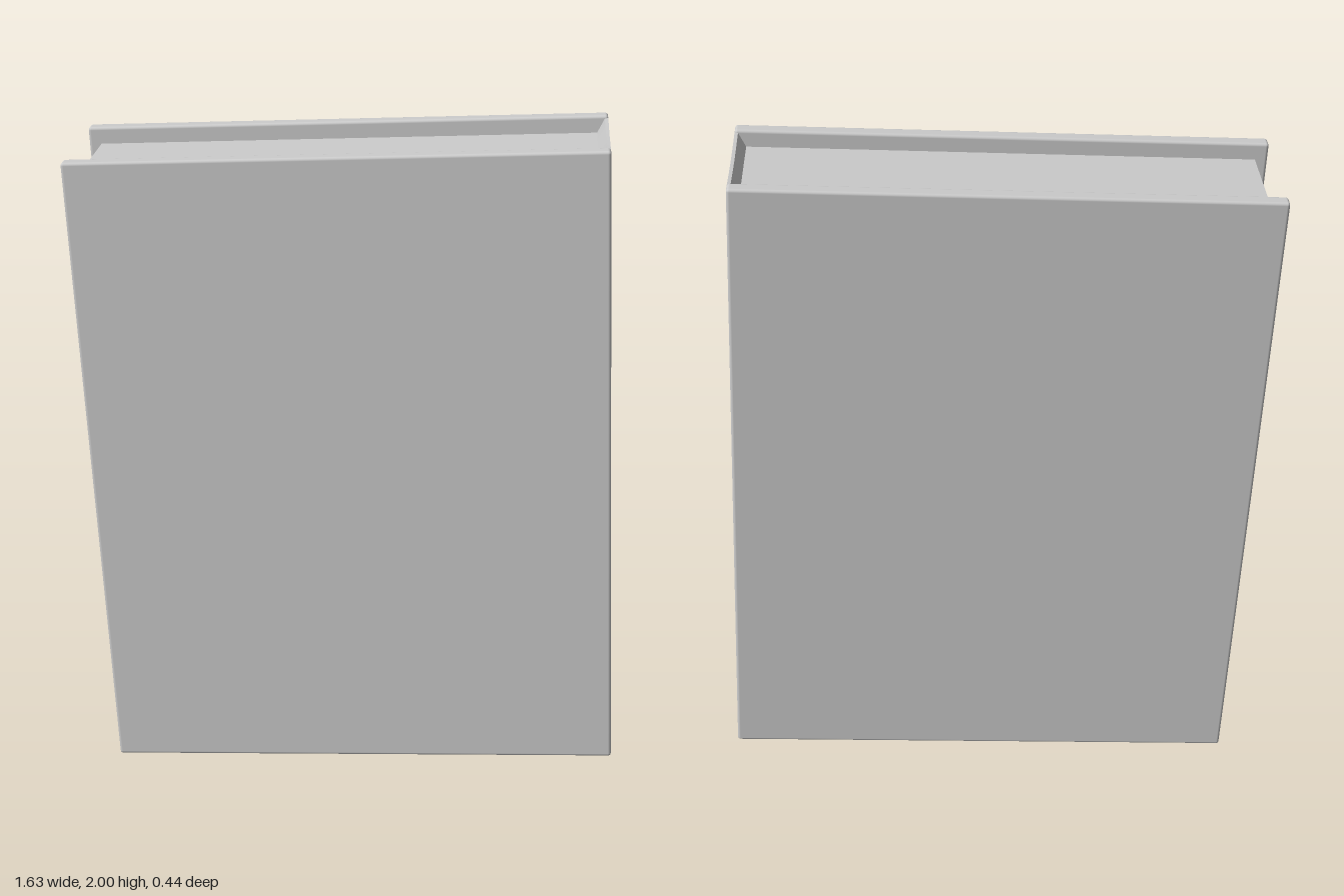
import * as THREE from 'three';
import { RoundedBoxGeometry } from 'three/addons/geometries/RoundedBoxGeometry.js';

const W = 1.547, H = 1.929, D = 0.44;   // closed book
const BOARD = 0.045;                    // cover thickness
const INSET = 0.05, FORE = 0.037;       // page block set back from the cover edges
const TILT = 0.0462;                    // slight lean in the front plane

export function createModel() {
  const model = new THREE.Group();
  model.name = 'book';
  const book = new THREE.Group();
  book.name = 'tiltedBook';
  const material = new THREE.MeshStandardMaterial({ color: 0xcccccc });

  const add = (name, geometry, x = 0, y = 0, z = 0) => {
    const mesh = new THREE.Mesh(geometry, material);
    mesh.name = name;
    mesh.position.set(x, y, z);
    book.add(mesh);
  };

  // Two cover boards with softly rounded edges
  for (const [name, side] of [['frontCover', 1], ['backCover', -1]]) {
    add(name, new RoundedBoxGeometry(W, H, BOARD, 3, 0.009), 0, 0, side * (D - BOARD) / 2);
  }

  // Page block between the boards
  const pageWidth = W - FORE - 0.02;
  add('pages', new THREE.BoxGeometry(pageWidth, H - 2 * INSET, D - 2 * BOARD + 0.01),
    -W / 2 + FORE + pageWidth / 2);

  // Spine: thin at its ends, sloping inward to the pages
  const out = W / 2, top = H / 2 - 0.008, low = H / 2 - INSET;
  const profile = new THREE.Shape([
    [out, -top], [out, top], [out - 0.01, top], [out - 0.034, low - 0.002],
    [out - 0.034, -low + 0.002], [out - 0.01, -top],
  ].map(([x, y]) => new THREE.Vector2(x, y)));
  const depth = D - 0.018;
  const spine = new THREE.ExtrudeGeometry(profile, { depth, steps: 12, bevelEnabled: false });
  spine.translate(0, 0, -depth / 2);

  // Hollow the spine ends gently between the boards
  const p = spine.attributes.position;
  const half = D / 2 - BOARD;
  for (let i = 0; i < p.count; i++) {
    const y = p.getY(i);
    if (Math.abs(y) > low) {
      const dip = 0.008 * Math.max(0, 1 - (p.getZ(i) / half) ** 2);
      p.setY(i, y - Math.sign(y) * dip);
    }
  }
  spine.computeVertexNormals();
  add('spine', spine);

  // Lean the book and rest its lowest corner on the ground
  book.rotation.z = TILT;
  book.position.y = (H * Math.cos(TILT) + W * Math.sin(TILT)) / 2;
  model.add(book);
  return model;
}
